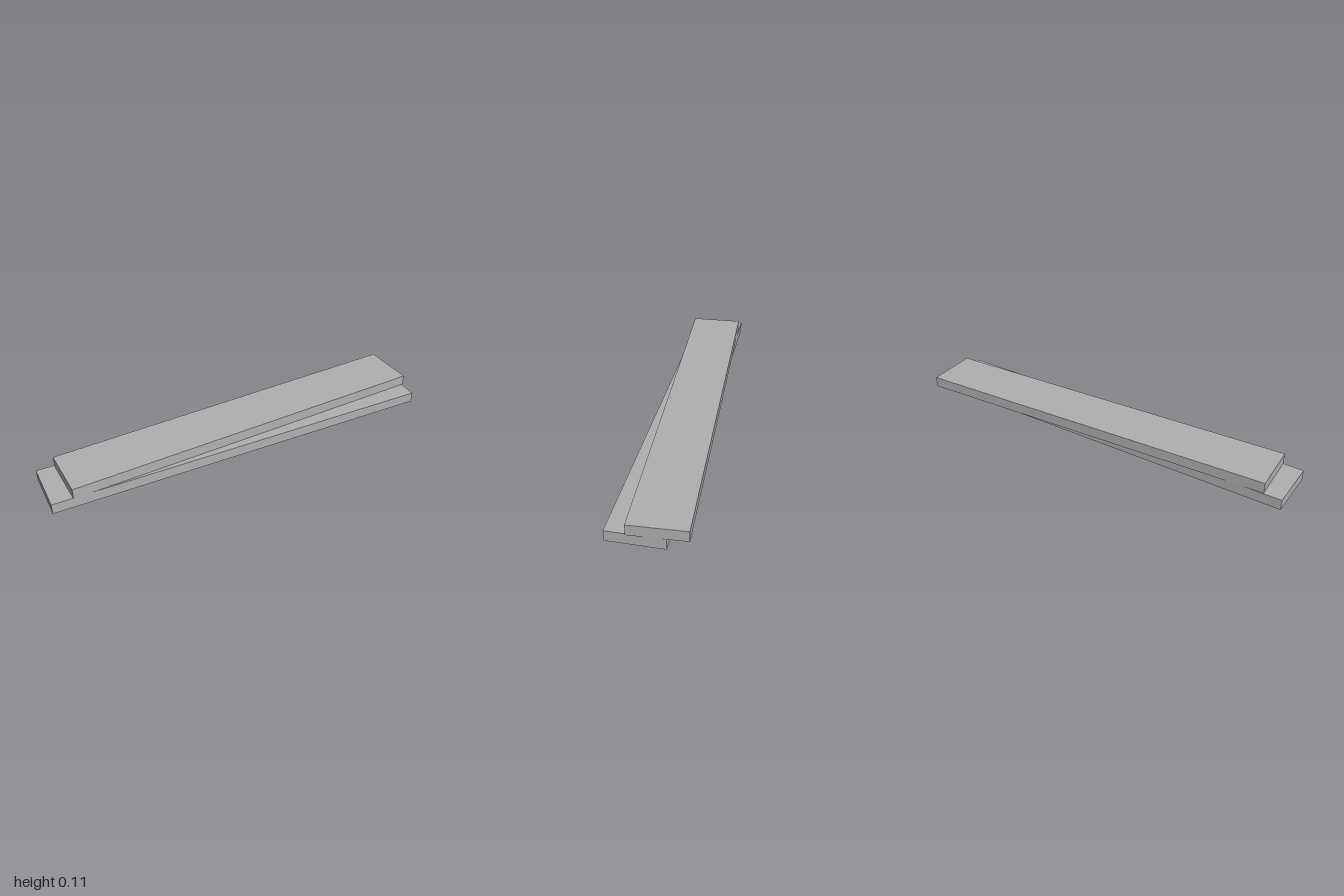
import * as THREE from 'three';

export function createModel() {
  const model = new THREE.Group();
  model.name = 'stackedPlanks';

  const grey = new THREE.MeshStandardMaterial({ color: 0xb0b0b0 });
  grey.name = 'plain grey';

  const thickness = 0.0535;
  const width = 0.266;

  function plank(name, length, x, y, z, turn) {
    const mesh = new THREE.Mesh(new THREE.BoxGeometry(length, thickness, width), grey);
    mesh.name = name;
    mesh.position.set(x, y, z);
    mesh.rotation.y = turn;
    model.add(mesh);
  }

  // Lower plank lies square, the upper one is turned three degrees on top of it
  plank('lowerPlank', 1.992, -0.004, thickness / 2, 0.045, 0);
  plank('upperPlank', 1.9, 0.0435, thickness * 1.5, 0, THREE.MathUtils.degToRad(3));

  return model;
}
